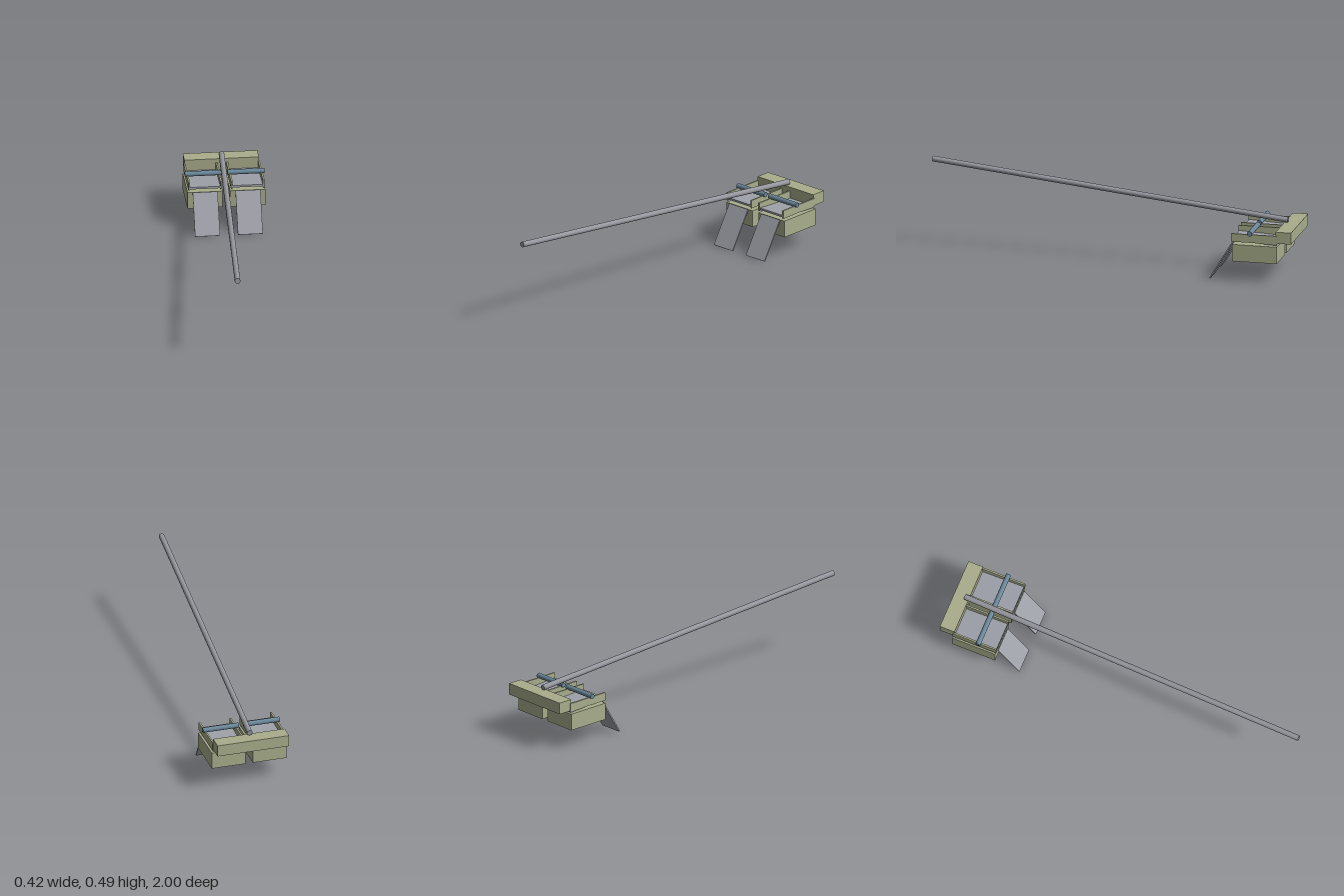
import * as THREE from 'three';

export function createModel() {
  const model = new THREE.Group();

  const mat = (name, color) => {
    const m = new THREE.MeshStandardMaterial({ color });
    m.name = name;
    return m;
  };
  const olive = mat('olive', 0xa9ae8c);
  const steel = mat('steel grey', 0x9fa1aa);
  const poleGrey = mat('pole grey', 0x96979e);
  const blue = mat('slate blue', 0x6b8799);

  const add = (name, geometry, material, x, y, z, rx = 0) => {
    const mesh = new THREE.Mesh(geometry, material);
    mesh.name = name;
    mesh.position.set(x, y, z);
    mesh.rotation.x = rx;
    model.add(mesh);
    return mesh;
  };
  const box = (w, h, d) => new THREE.BoxGeometry(w, h, d);

  // Cylinder running between two points
  const rod = (name, a, b, radius, material) => {
    const dir = b.clone().sub(a);
    const mid = a.clone().add(b).multiplyScalar(0.5);
    const mesh = add(name, new THREE.CylinderGeometry(radius, radius, dir.length(), 24), material, mid.x, mid.y, mid.z);
    mesh.quaternion.setFromUnitVectors(new THREE.Vector3(0, 1, 0), dir.normalize());
  };

  // Cross beam at the back
  const cx = -0.001;
  add('backBeam', box(0.392, 0.062, 0.082), olive, cx, 0.246, -0.959);

  // Long slanted pole resting on the beam
  rod('pole', new THREE.Vector3(0, 0.293, -0.939), new THREE.Vector3(-0.122, 0.47, 0.999), 0.0148, poleGrey);

  // Two matching units, one on each side
  for (const [side, s] of [['left', 1], ['right', -1]]) {
    const at = (x) => cx + s * x;

    add(side + 'LowerBlock', box(0.185, 0.091, 0.241), olive, at(0.112), 0.153, -0.805);

    // Tray: two side walls and a slightly tilted floor
    for (const [edge, x] of [['Inner', 0.0275], ['Outer', 0.1955]]) {
      add(side + edge + 'Wall', box(0.009, 0.044, 0.246), olive, at(x), 0.234, -0.803);
    }
    add(side + 'TrayFloor', box(0.167, 0.011, 0.238), steel, at(0.1125), 0.216, -0.803, -0.053);

    // Cross tube over the tray
    rod(side + 'Tube', new THREE.Vector3(at(0.0145), 0.262, -0.78), new THREE.Vector3(at(0.21), 0.262, -0.78), 0.0135, blue);

    // Thin flap sloping down and forward to the ground
    add(side + 'Flap', box(0.131, 0.232, 0.007), steel, at(0.1125), 0.1005, -0.62, -0.545);
  }

  return model;
}
